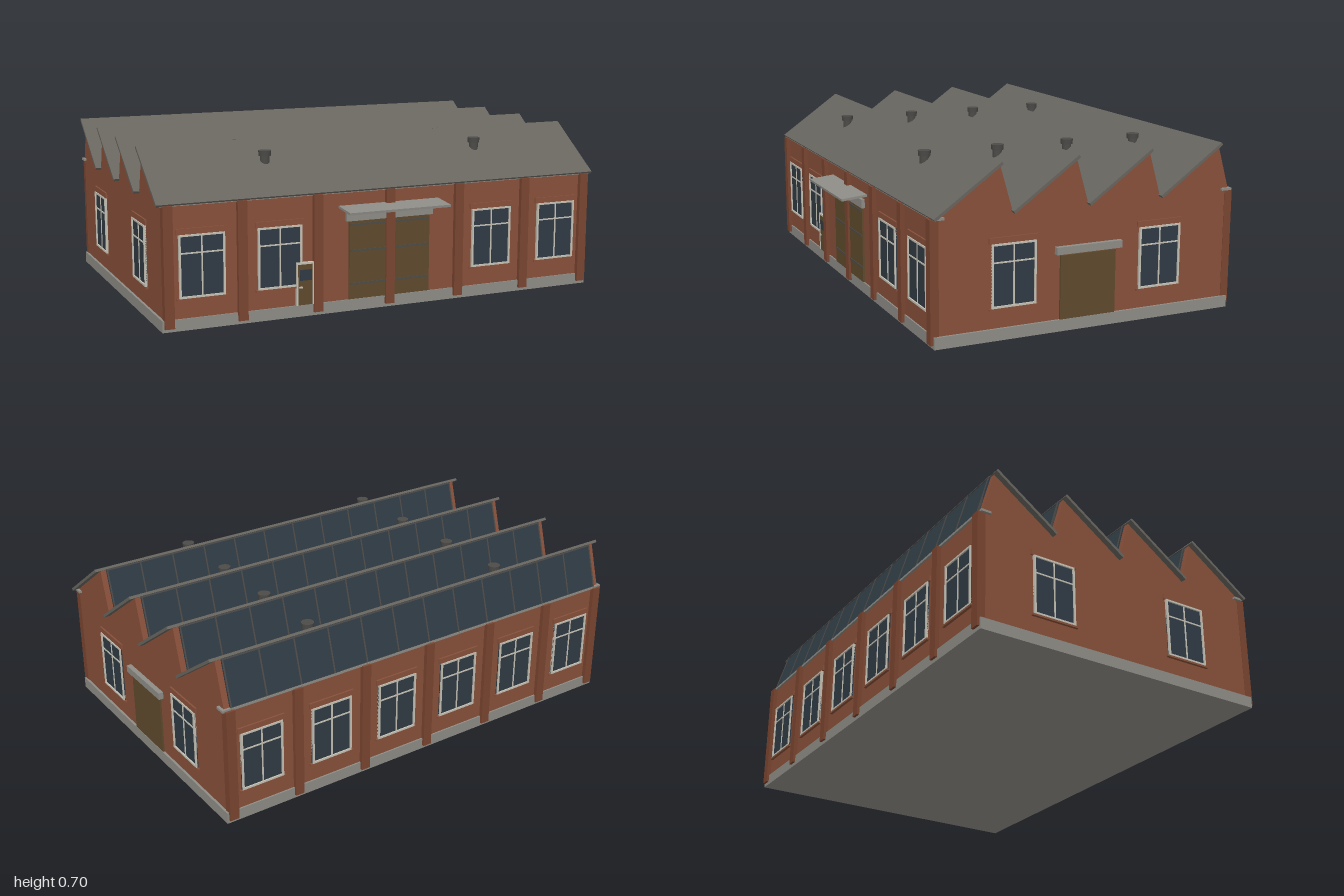
import * as THREE from 'three';

const mat = (name, color) => {
  const m = new THREE.MeshStandardMaterial({ color });
  m.name = name;
  return m;
};
const brick = mat('brick', 0x88503a);
const darkBrick = mat('dark brick', 0x7a4530);
const concrete = mat('concrete', 0x8e8c86);
const roofing = mat('roofing', 0x68655f);
const glass = mat('glass', 0x303b44);
const frame = mat('window frame', 0xc6c2b6);
const wood = mat('door wood', 0x5f4a2d);
const metal = mat('dark metal', 0x4c4b48);

// Building depth runs from FRONT to BACK; the roof has four equal teeth
const FRONT = 0.607, BACK = -0.698, SIDE = 0.975;
const EAVE = 0.502, RIDGE = 0.694, PITCH = 0.327, TEETH = 4, START = 0.611;

function box(parent, name, material, size, pos) {
  const m = new THREE.Mesh(new THREE.BoxGeometry(...size), material);
  m.name = name;
  m.position.set(...pos);
  parent.add(m);
  return m;
}

// Group lying on a slope between two [z, y] points, z rising from a to b
function slope(parent, name, a, b) {
  const g = new THREE.Group();
  g.name = name;
  g.position.set(0, (a[1] + b[1]) / 2, (a[0] + b[0]) / 2);
  g.rotation.x = Math.atan2(a[1] - b[1], b[0] - a[0]);
  g.userData.length = Math.hypot(b[0] - a[0], b[1] - a[1]);
  parent.add(g);
  return g;
}

// Group placed on a wall, its local +z pointing outwards
function onWall(parent, name, x, z, turn) {
  const g = new THREE.Group();
  g.name = name;
  g.position.set(x, 0, z);
  g.rotation.y = turn;
  parent.add(g);
  return g;
}

function addWindow(parent, x, z, turn) {
  const g = onWall(parent, 'window', x, z, turn);
  const w = 0.19, lo = 0.13, hi = 0.385, t = 0.008, mid = (lo + hi) / 2;
  box(g, 'windowGlass', glass, [w, hi - lo, 0.006], [0, mid, 0.002]);
  for (const s of [-1, 1]) {
    box(g, 'windowJamb', frame, [t, hi - lo, 0.014], [s * (w - t) / 2, mid, 0.004]);
    box(g, 'windowRail', frame, [w, t, 0.014], [0, mid + s * (hi - lo - t) / 2, 0.004]);
  }
  box(g, 'windowMullion', frame, [0.006, hi - lo, 0.01], [0, mid, 0.003]);
  box(g, 'windowTransom', frame, [w, 0.006, 0.01], [0, 0.31, 0.003]);
  box(g, 'windowLintel', brick, [w + 0.02, 0.024, 0.01], [0, hi + 0.012, 0.002]);
  box(g, 'windowSill', brick, [w + 0.02, 0.008, 0.016], [0, lo - 0.004, 0.003]);
}

export function createModel() {
  const model = new THREE.Group();
  model.name = 'sawtoothFactory';

  // Brick body with sawtooth gables
  const pts = [[FRONT, 0.03], [FRONT, EAVE]];
  for (let i = 0; i < TEETH; i++) {
    const z = START - i * PITCH;
    pts.push([z - 0.271, RIDGE], [Math.max(z - PITCH, BACK), EAVE]);
  }
  pts.push([BACK, 0.03]);
  const profile = new THREE.Shape(pts.map(p => new THREE.Vector2(...p)));
  const bodyGeo = new THREE.ExtrudeGeometry(profile, { depth: SIDE * 2, bevelEnabled: false });
  bodyGeo.translate(0, 0, -SIDE).rotateY(-Math.PI / 2);
  const body = new THREE.Mesh(bodyGeo, brick);
  body.name = 'brickWalls';
  model.add(body);

  // Plinth and eaves bands
  box(model, 'plinth', concrete, [1.97, 0.048, 1.318], [0, 0.024, -0.046]);
  box(model, 'frontEavesBand', concrete, [1.974, 0.01, 0.045], [0, 0.505, 0.592]);
  box(model, 'backEavesBand', concrete, [1.974, 0.01, 0.045], [0, 0.505, -0.683]);

  // Roof teeth
  for (let i = 0; i < TEETH; i++) {
    const z = START - i * PITCH;
    const ridge = [z - 0.271, RIDGE], valley = [z - PITCH, EAVE];

    const deck = slope(model, 'roofSlope', [ridge[0] - 0.004, RIDGE + 0.003], [z + 0.003, EAVE]);
    box(deck, 'roofDeck', roofing, [2, 0.012, deck.userData.length], [0, 0.003, 0]);

    const light = slope(model, 'northLight', valley, ridge);
    const len = light.userData.length;
    box(light, 'northLightGlass', glass, [1.9, 0.008, len], [0, 0.002, 0]);
    for (let k = 0; k <= 12; k++) {
      box(light, 'glazingBar', metal, [0.006, 0.008, len], [-0.947 + k * 0.1578, 0.005, 0]);
    }
    for (const s of [-1, 1]) {
      box(light, 'glazingRail', metal, [1.9, 0.008, 0.006], [0, 0.0045, s * (len / 2 - 0.004)]);
    }

    // Roof vents
    for (const x of [-0.49, 0.49]) {
      const vent = new THREE.Group();
      vent.name = 'roofVent';
      vent.position.set(x, 0, z - 0.163);
      const parts = [['ventPipe', 0.02, 0.02, 0.07, 0.615], ['ventCap', 0.027, 0.025, 0.022, 0.659]];
      for (const [name, top, bottom, h, y] of parts) {
        const m = new THREE.Mesh(new THREE.CylinderGeometry(top, bottom, h, 14), metal);
        m.name = name;
        m.position.y = y;
        vent.add(m);
      }
      model.add(vent);
    }
  }

  // Pilasters on the long walls
  for (const x of [-0.957, -0.652, -0.326, 0, 0.326, 0.652, 0.957]) {
    box(model, 'frontPilaster', darkBrick, [0.04, 0.488, 0.035], [x, 0.259, 0.608]);
    box(model, 'backPilaster', darkBrick, [0.04, 0.488, 0.035], [x, 0.259, -0.698]);
  }

  // Windows: outer bays in front, every bay behind, two on each side
  for (const x of [0.163, 0.49, 0.818]) {
    for (const s of [-1, 1]) {
      if (x > 0.2) addWindow(model, s * x, FRONT, 0);
      addWindow(model, s * x, BACK, Math.PI);
    }
  }
  for (const s of [-1, 1]) {
    for (const z of [0.28, -0.371]) addWindow(model, s * SIDE, z, s * Math.PI / 2);
  }

  // Main gate, its lintel and canopy
  const gate = onWall(model, 'mainGate', 0, FRONT, 0);
  for (const s of [-1, 1]) {
    box(gate, 'gateLeaf', wood, [0.184, 0.335, 0.012], [s * 0.094, 0.2175, 0.003]);
    for (const y of [0.115, 0.255, 0.365]) {
      box(gate, 'gateStrap', metal, [0.172, 0.008, 0.006], [s * 0.094, y, 0.009]);
    }
  }
  box(gate, 'gateLintel', concrete, [0.4, 0.038, 0.02], [0, 0.4, 0.005]);
  const canopy = slope(model, 'gateCanopy', [0.607, 0.442], [0.719, 0.431]);
  box(canopy, 'canopySlab', concrete, [0.46, 0.01, canopy.userData.length], [0, 0, 0]);

  // Small staff door beside a pilaster
  const door = onWall(model, 'staffDoor', -0.384, FRONT, 0);
  box(door, 'staffDoorLeaf', wood, [0.07, 0.17, 0.014], [0, 0.135, 0.005]);
  box(door, 'staffDoorGlass', glass, [0.052, 0.045, 0.004], [0.003, 0.175, 0.0125]);
  box(door, 'staffDoorHead', frame, [0.076, 0.008, 0.02], [0, 0.224, 0.005]);
  for (const s of [-1, 1]) {
    box(door, 'staffDoorJamb', frame, [0.006, 0.176, 0.02], [s * 0.035, 0.138, 0.005]);
  }
  box(door, 'staffDoorHandle', frame, [0.014, 0.006, 0.008], [-0.02, 0.125, 0.014]);

  // Side gate with lintel
  const sideGate = onWall(model, 'sideGate', SIDE, -0.044, Math.PI / 2);
  box(sideGate, 'sideGateLeaf', wood, [0.246, 0.26, 0.012], [0, 0.178, 0.002]);
  box(sideGate, 'sideGateLintel', concrete, [0.292, 0.03, 0.03], [0, 0.33, 0.006]);

  return model;
}
